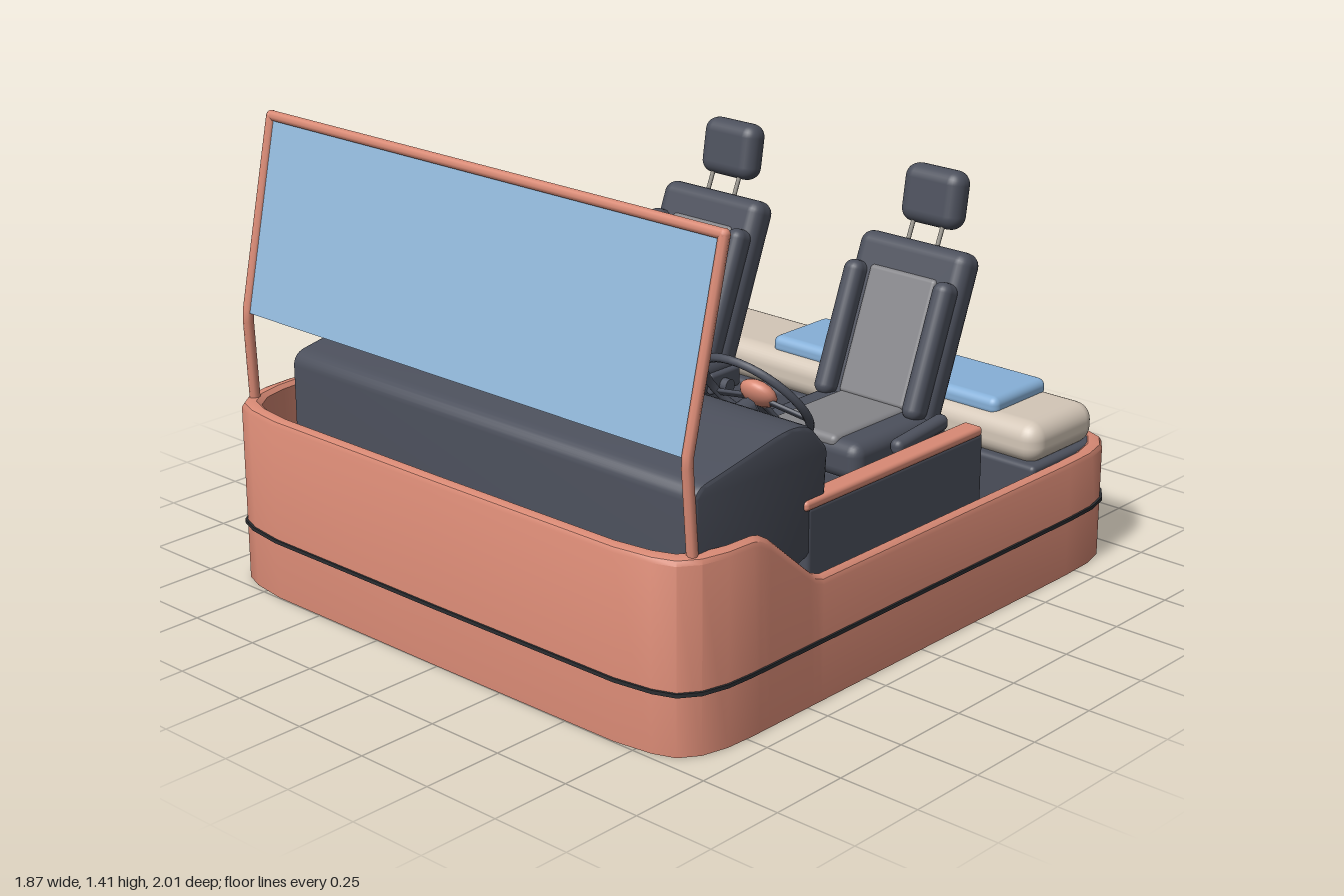
import * as THREE from 'three';
import { toCreasedNormals } from 'three/addons/utils/BufferGeometryUtils.js';
import { RoundedBoxGeometry } from 'three/addons/geometries/RoundedBoxGeometry.js';

const mat = (name, color) => Object.assign(new THREE.MeshStandardMaterial({ color }), { name });
const M = {
  paint: mat('terracotta paint', 0xd98a75),
  slate: mat('slate trim', 0x4c505c),
  black: mat('charcoal', 0x2b2d31),
  grey: mat('seat fabric', 0x858589),
  cream: mat('cream bedding', 0xd3c6b7),
  blue: mat('blue blanket', 0x86b0d8),
  glass: mat('window blue', 0x93b9dc),
  silver: mat('silver grey', 0x9c9890),
};
const V = (x, y, z) => new THREE.Vector3(x, y, z);

function add(parent, name, geo, material, x = 0, y = 0, z = 0, rx = 0) {
  const m = new THREE.Mesh(geo, material);
  m.name = name;
  m.position.set(x, y, z);
  m.rotation.x = rx;
  parent.add(m);
  return m;
}
const rbox = (w, h, d, r = 0.02, s = 3) => new RoundedBoxGeometry(w, h, d, s, Math.min(r, w / 2.01, h / 2.01, d / 2.01));
const box = (w, h, d) => new THREE.BoxGeometry(w, h, d);

function rod(parent, name, points, r, material) {
  const path = new THREE.CurvePath();
  for (let i = 1; i < points.length; i++) path.add(new THREE.LineCurve3(points[i - 1], points[i]));
  return add(parent, name, new THREE.TubeGeometry(path, 12 * (points.length - 1), r, 8), material);
}

// Half of the hull outline, front centre to back centre: x, z, rim height
const half = [
  [0, 1, 0.56], [0.68, 0.997, 0.56], [0.8, 0.98, 0.56], [0.865, 0.955, 0.56], [0.905, 0.9, 0.56], [0.925, 0.82, 0.56],
  [0.93, 0.73, 0.56], [0.93, 0.7, 0.553], [0.93, 0.66, 0.53], [0.93, 0.5, 0.395], [0.93, 0.475, 0.375], [0.93, 0.44, 0.362],
  [0.93, -0.7, 0.362], [0.925, -0.82, 0.362], [0.905, -0.9, 0.362], [0.865, -0.955, 0.362], [0.8, -0.98, 0.362], [0.68, -0.997, 0.362], [0, -1, 0.362],
];
const outline = [...half, ...half.slice(1, -1).reverse().map(([x, z, h]) => [-x, z, h])];

// Closed band following the outline; section(h) gives [inset, y] pairs
function band(section) {
  const pos = [], idx = [], n = outline.length, k = section(1).length;
  for (const [x, z, h] of outline)
    for (const [o, y] of section(h)) pos.push(x * (1 - o / 0.93), y, z * (1 - o));
  for (let i = 0; i < n; i++)
    for (let j = 0; j < k; j++) {
      const a = i * k + j, b = i * k + (j + 1) % k, c = ((i + 1) % n) * k + j, d = ((i + 1) % n) * k + (j + 1) % k;
      idx.push(a, c, b, b, c, d);
    }
  const g = new THREE.BufferGeometry();
  g.setAttribute('position', new THREE.Float32BufferAttribute(pos, 3));
  // Reverse winding if the first outward face points inwards
  const p = i => V().fromArray(pos, i * 3), [a, b, c] = idx;
  const nrm = p(b).sub(p(a)).cross(p(c).sub(p(a)));
  if (nrm.z < 0) idx.reverse();
  g.setIndex(idx);
  return toCreasedNormals(g, 0.6);
}

function slab(inset, depth) {
  const s = new THREE.Shape(outline.map(([x, z]) => new THREE.Vector2(x * (1 - inset / 0.93), -z * (1 - inset))));
  return new THREE.ExtrudeGeometry(s, { depth, bevelEnabled: false }).rotateX(-Math.PI / 2);
}

function hull(root) {
  add(root, 'bodyShell', band(h => [[0, 0], [0, h - 0.018], [0.006, h - 0.005], [0.018, h], [0.032, h], [0.044, h - 0.012], [0.046, 0]]), M.paint);
  add(root, 'bodyLine', band(() => [[-0.006, 0.176], [-0.006, 0.187], [0.01, 0.187], [0.01, 0.176]]), M.black);
  add(root, 'underside', slab(0.03, 0.03), M.black, 0, 0.006, 0);
  add(root, 'cabinFloor', slab(0.04, 0.06), M.slate, 0, 0.037, 0);
  for (const s of [-1, 1]) {
    add(root, 'doorPanel', rbox(0.045, 0.46, 0.78, 0.015), M.slate, s * 0.86, 0.325, 0.065);
    add(root, 'doorRail', rbox(0.065, 0.03, 0.78, 0.012), M.paint, s * 0.858, 0.563, 0.08);
    add(root, 'doorPocket', rbox(0.07, 0.11, 0.45, 0.025), M.slate, s * 0.81, 0.44, -0.02);
  }
  add(root, 'doorHandle', rbox(0.035, 0.04, 0.1, 0.015), M.black, -0.868, 0.53, 0.51);
  add(root, 'windowCrank', rbox(0.03, 0.03, 0.06, 0.01), M.black, 0.79, 0.5, 0.17);
}

function windscreen(root) {
  const g = new THREE.Group();
  g.name = 'windscreen';
  root.add(g);
  const side = s => [V(s * 0.87, 0.55, 0.9), V(s * 0.865, 0.82, 0.915), V(s * 0.872, 1.39, 0.785)];
  for (const s of [-1, 1]) {
    rod(g, 'windscreenPillar', side(s), 0.016, M.paint);
    add(g, 'frameCorner', new THREE.SphereGeometry(0.016, 10, 8), M.paint, s * 0.872, 1.39, 0.785);
    add(g, 'sunVisor', rbox(0.3, 0.1, 0.018, 0.008), M.black, s * 0.45, 1.32, 0.775, -0.22);
  }
  rod(g, 'windscreenHeader', [V(-0.872, 1.39, 0.785), V(0.872, 1.39, 0.785)], 0.016, M.paint);
  add(g, 'windscreenGlass', box(1.73, 0.57, 0.006), M.glass, 0, 1.103, 0.852, -0.225);
  rod(g, 'mirrorStalk', [V(0, 1.385, 0.775), V(0, 1.35, 0.72), V(0, 1.3, 0.69)], 0.006, M.black);
  add(g, 'mirrorShell', rbox(0.2, 0.055, 0.026, 0.012), M.black, 0, 1.295, 0.68, 0.15);
  add(g, 'mirrorFace', rbox(0.18, 0.042, 0.006, 0.003), M.silver, 0, 1.297, 0.666, 0.15);
}

function dashboard(root) {
  const g = new THREE.Group();
  g.name = 'dashboard';
  root.add(g);
  // Side profile as z, y
  const s = new THREE.Shape();
  s.moveTo(0.89, 0.1);
  s.lineTo(0.89, 0.7);
  s.quadraticCurveTo(0.89, 0.73, 0.85, 0.736);
  s.lineTo(0.58, 0.785);
  s.quadraticCurveTo(0.48, 0.8, 0.44, 0.765);
  s.lineTo(0.395, 0.715);
  s.quadraticCurveTo(0.38, 0.7, 0.383, 0.68);
  s.lineTo(0.4, 0.44);
  s.lineTo(0.52, 0.4);
  s.lineTo(0.56, 0.1);
  const body = new THREE.ExtrudeGeometry(s, { depth: 1.54, bevelSize: 0.012, bevelThickness: 0.015, bevelSegments: 2, curveSegments: 6 });
  add(g, 'dashBody', toCreasedNormals(body.rotateY(-Math.PI / 2), 0.6), M.slate, 0.865);
  add(g, 'dashTrim', rbox(1.2, 0.035, 0.03, 0.01), M.paint, -0.03, 0.515, 0.375);
  add(g, 'instrumentHood', rbox(0.38, 0.03, 0.06, 0.014), M.slate, 0.39, 0.725, 0.375);
  add(g, 'dashVent', rbox(0.19, 0.012, 0.03, 0.005), M.black, 0, 0.765, 0.725, 0.18);
  for (const [x, w] of [[-0.2, 0.5], [0.4, 0.62]]) add(g, 'demistSlot', box(w, 0.008, 0.014), M.black, x, 0.749, 0.8, 0.18);
  for (const x of [-0.56, 0.74]) add(g, 'demistNozzle', rbox(0.06, 0.012, 0.03, 0.005), M.black, x, 0.753, 0.78, 0.18);
  // Dials and round vents
  for (const [x, r] of [[0.5, 0.036], [0.39, 0.042], [0.28, 0.036], [0.03, 0.03], [-0.38, 0.03], [0.75, 0.03]]) {
    add(g, 'dialFace', new THREE.CylinderGeometry(r, r, 0.012, 20), M.black, x, 0.63, 0.373, Math.PI / 2);
    add(g, 'dialRing', new THREE.TorusGeometry(r, 0.004, 6, 24), M.silver, x, 0.63, 0.366);
    add(g, 'dialNeedle', box(0.004, r, 0.003), M.silver, x, 0.63 + r * 0.4, 0.366);
  }
  // Centre console with a grid of buttons
  add(g, 'centreConsole', rbox(0.22, 0.4, 0.16, 0.02), M.slate, 0.03, 0.3, 0.44);
  add(g, 'consolePanel', box(0.17, 0.17, 0.008), M.black, 0.03, 0.4, 0.358);
  for (let i = 0; i < 3; i++)
    for (let j = 0; j < 3; j++) add(g, 'consoleButton', box(0.035, 0.022, 0.008), M.grey, -0.02 + i * 0.05, 0.35 + j * 0.05, 0.353);
}

function steering(root) {
  rod(root, 'steeringColumn', [V(0.39, 0.63, 0.13), V(0.39, 0.575, 0.42)], 0.032, M.slate);
  const w = new THREE.Group();
  w.name = 'steeringWheel';
  w.position.set(0.39, 0.655, 0.1);
  w.rotation.x = Math.PI + 0.68; // local +z faces the driver
  root.add(w);
  add(w, 'wheelRim', new THREE.TorusGeometry(0.178, 0.013, 8, 36), M.slate);
  for (const a of [0.25, Math.PI - 0.25, Math.PI * 0.43, Math.PI * 0.57]) {
    const spoke = add(w, 'wheelSpoke', rbox(0.17, 0.024, 0.012, 0.005), M.slate, 0.09 * Math.cos(a), 0.09 * Math.sin(a), 0);
    spoke.rotation.z = a;
  }
  add(w, 'wheelHub', new THREE.SphereGeometry(0.062, 20, 12).scale(1, 0.85, 0.5), M.paint, 0, 0, 0.012);
}

function seat(root, x) {
  const g = new THREE.Group();
  g.name = 'seat';
  g.position.x = x;
  root.add(g);
  add(g, 'seatBase', rbox(0.34, 0.3, 0.34, 0.02), M.slate, 0, 0.24, -0.3);
  add(g, 'seatCushion', rbox(0.42, 0.12, 0.4, 0.04), M.slate, 0, 0.435, -0.3);
  add(g, 'cushionInsert', rbox(0.25, 0.04, 0.33, 0.018), M.grey, 0, 0.486, -0.27);
  const back = new THREE.Group();
  back.name = 'seatBack';
  back.position.set(0, 0.675, -0.55);
  back.rotation.x = -0.37;
  g.add(back);
  add(back, 'backCushion', rbox(0.41, 0.58, 0.1, 0.04), M.slate);
  add(back, 'backInsert', rbox(0.25, 0.4, 0.03, 0.014), M.grey, 0, -0.01, 0.045);
  add(back, 'backPlate', rbox(0.34, 0.48, 0.02, 0.008), M.slate, 0, -0.01, -0.05);
  for (const s of [-1, 1]) {
    add(back, 'sideBolster', rbox(0.065, 0.42, 0.08, 0.03), M.slate, s * 0.168, -0.02, 0.06);
    add(g, 'reclinerHinge', rbox(0.025, 0.07, 0.14, 0.012), M.slate, s * 0.215, 0.42, -0.43);
    add(g, 'reclinerKnob', new THREE.CylinderGeometry(0.022, 0.022, 0.03, 14).rotateZ(Math.PI / 2), M.slate, s * 0.238, 0.41, -0.42);
    rod(g, 'headrestPost', [V(s * 0.055, 0.9, -0.64), V(s * 0.055, 1.03, -0.695)], 0.007, M.silver);
  }
  add(g, 'headrest', rbox(0.215, 0.18, 0.09, 0.042, 4), M.slate, 0, 1.075, -0.715, -0.16);
  const outer = Math.sign(x);
  add(g, 'foldedArmrest', rbox(0.045, 0.05, 0.24, 0.02), M.slate, outer * 0.235, 0.47, -0.36, 0.1);
}

function bed(root) {
  add(root, 'bedBase', rbox(1.74, 0.27, 0.345, 0.015), M.slate, 0, 0.225, -0.77);
  add(root, 'mattress', rbox(1.71, 0.13, 0.32, 0.055, 4), M.cream, 0.01, 0.415, -0.765);
  add(root, 'blanket', rbox(0.88, 0.06, 0.265, 0.025, 4), M.blue, 0.255, 0.49, -0.77);
  add(root, 'pillow', new THREE.SphereGeometry(1, 24, 16), M.cream, -0.645, 0.5, -0.78);
  // Squash the sphere into a plump rounded rectangle
  const p = root.children.at(-1).geometry, a = p.attributes.position;
  const sq = (v, e) => Math.sign(v) * Math.abs(v) ** e;
  for (let i = 0; i < a.count; i++) a.setXYZ(i, 0.17 * sq(a.getX(i), 0.55), 0.05 * a.getY(i), 0.13 * sq(a.getZ(i), 0.55));
  p.computeVertexNormals();
}

export function createModel() {
  const root = new THREE.Group();
  root.name = 'openCamperCabin';
  hull(root);
  windscreen(root);
  dashboard(root);
  steering(root);
  seat(root, -0.42);
  seat(root, 0.39);
  bed(root);
  return root;
}
